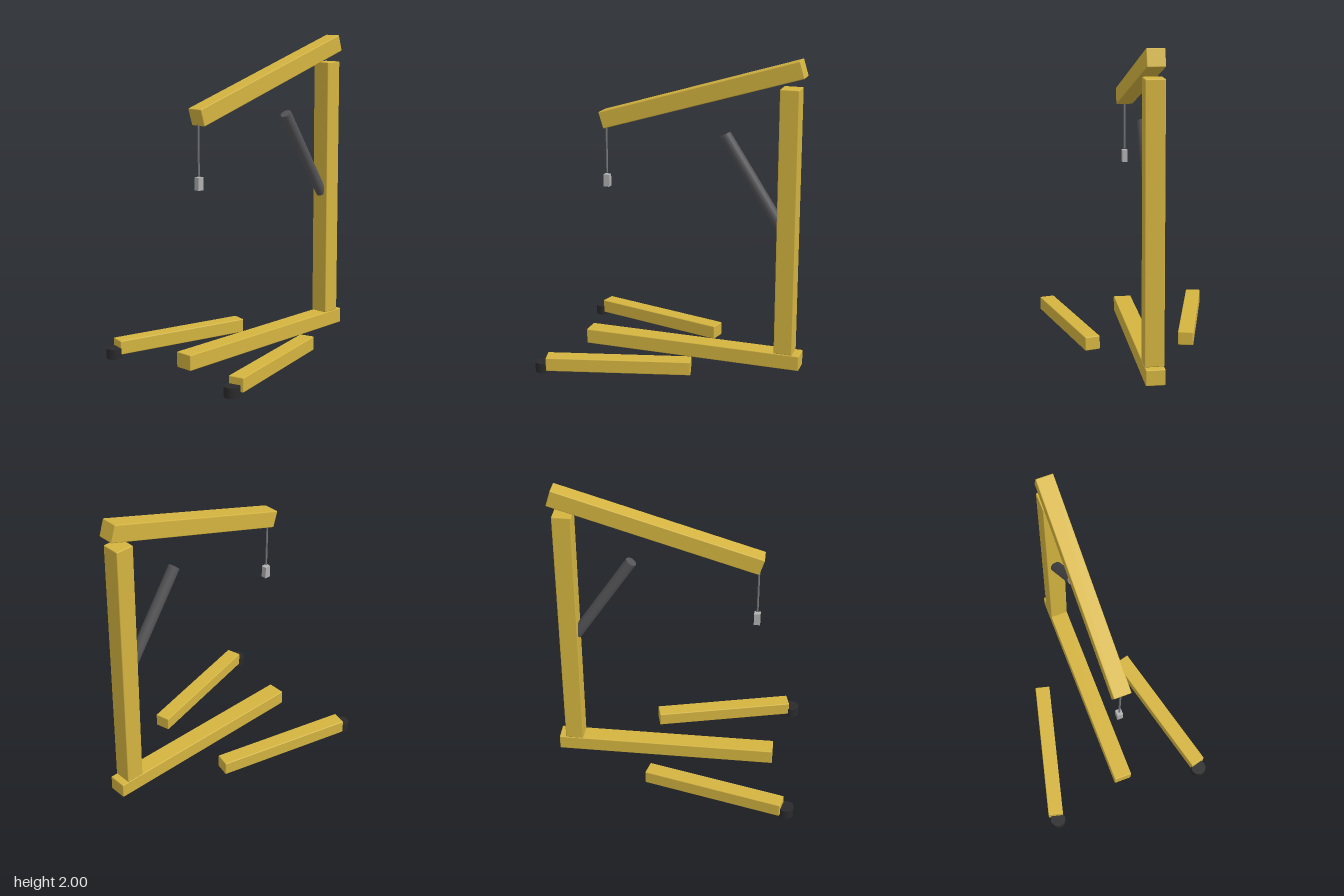
import * as THREE from 'three';
import { RoundedBoxGeometry } from 'three/addons/geometries/RoundedBoxGeometry.js';

const paint = new THREE.MeshStandardMaterial({ color: 0xd4b440 });
const darkGrey = new THREE.MeshStandardMaterial({ color: 0x555558 });
const rubber = new THREE.MeshStandardMaterial({ color: 0x2a2a2c });
const steel = new THREE.MeshStandardMaterial({ color: 0x777777 });
const hookSteel = new THREE.MeshStandardMaterial({ color: 0xb0b0b0 });

export function createModel() {
  const model = new THREE.Group();
  model.name = 'liftingCrane';

  const add = (name, geometry, material, x, y, z) => {
    const mesh = new THREE.Mesh(geometry, material);
    mesh.name = name;
    mesh.position.set(x, y, z);
    model.add(mesh);
    return mesh;
  };
  // Square tube with slightly softened edges
  const beam = (w, h, d) => new RoundedBoxGeometry(w, h, d, 2, 0.006);
  // Round bar between two points in the middle plane
  const bar = (name, radius, material, y0, z0, y1, z1) => {
    const from = new THREE.Vector3(0, y0, z0);
    const to = new THREE.Vector3(0, y1, z1);
    const axis = to.clone().sub(from);
    const geometry = new THREE.CylinderGeometry(radius, radius, axis.length(), 24);
    const mid = from.clone().add(to).multiplyScalar(0.5);
    const mesh = add(name, geometry, material, mid.x, mid.y, mid.z);
    mesh.quaternion.setFromUnitVectors(new THREE.Vector3(0, 1, 0), axis.normalize());
  };

  // Frame
  add('baseBeam', beam(0.12, 0.1, 1.45), paint, 0, 0.065, -0.08);
  add('mast', beam(0.12, 1.71, 0.12), paint, 0, 0.97, -0.7);
  add('boom', beam(0.11, 0.11, 1.35), paint, 0, 1.75, -0.128).rotation.x = THREE.MathUtils.degToRad(17);

  // Splayed legs with a caster under each front end
  for (const [side, s] of [['left', 1], ['right', -1]]) {
    const leg = add(side + 'Leg', beam(0.1, 0.09, 0.92), paint, s * 0.413, 0.067, 0.281);
    leg.rotation.y = s * THREE.MathUtils.degToRad(14.1);
    add(side + 'Caster', new THREE.CylinderGeometry(0.05, 0.05, 0.065, 24), rubber, s * 0.52, 0.0325, 0.755);
  }

  // Hydraulic ram leaning out of the mast
  bar('hydraulicRam', 0.036, darkGrey, 0.946, -0.655, 1.511, -0.289);

  // Cable and hook block hanging from the boom tip
  bar('cable', 0.006, steel, 1.2, 0.5, 1.51, 0.5);
  add('hookBlock', new THREE.BoxGeometry(0.036, 0.08, 0.04), hookSteel, 0, 1.15, 0.5);

  return model;
}
